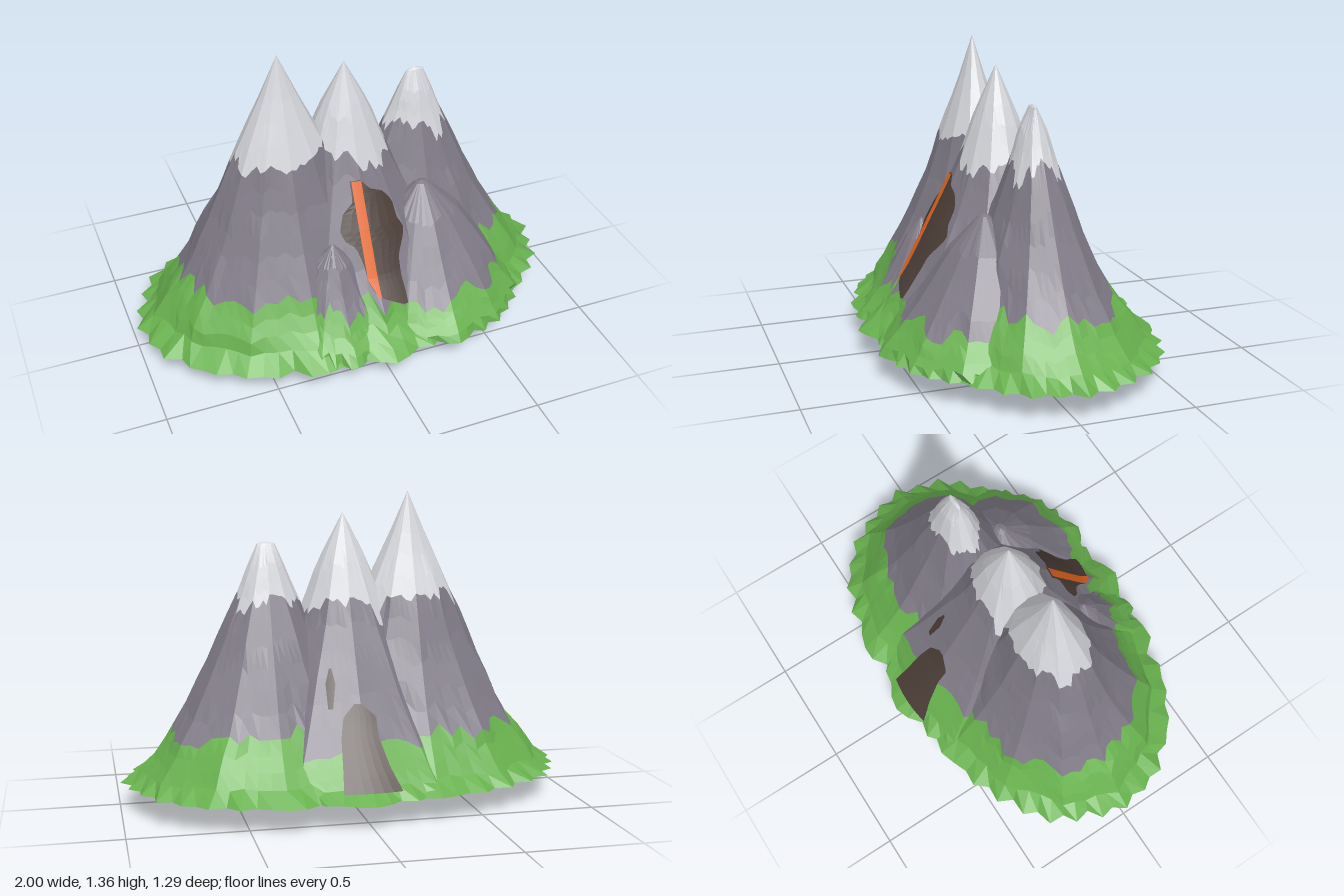
import * as THREE from 'three';

const mat = (name, color) => {
  const m = new THREE.MeshStandardMaterial({ color, side: THREE.DoubleSide });
  m.name = name;
  return m;
};

const BASE = 0.11, COLS = 60, FACETS = 12;

// Each peak: centre, front/back depth scale, [radius, height] profile, snow and grass lines
const PEAKS = [
  { name: 'rightPeak', x: -0.3, z: 0.01, front: 0.84, back: 0.84, snow: 0.9, grass: 0.34, tip: 1, rough: 0.03,
    profile: [[0, 1.36], [0.08, 1.18], [0.2, 0.93], [0.31, 0.67], [0.44, 0.41], [0.54, 0.25], [0.61, 0.16], [0.7, BASE]] },
  { name: 'middlePeak', x: 0, z: 0, front: 1, back: 1, snow: 0.84, grass: 0.3, tip: 1, rough: 0.015,
    profile: [[0, 1.27], [0.11, 1.06], [0.21, 0.81], [0.32, 0.6], [0.42, 0.4], [0.54, 0.21], [0.58, 0.15], [0.645, BASE]] },
  { name: 'leftPeak', x: 0.35, z: -0.04, front: 0.83, back: 0.88, snow: 0.88, grass: 0.35, tip: 0.4, rough: 0.03,
    profile: [[0, 1.15], [0.04, 1.14], [0.13, 0.92], [0.24, 0.68], [0.38, 0.41], [0.49, 0.25], [0.56, 0.16], [0.65, BASE]] },
  { name: 'leftFoothill', x: 0.31, z: 0.16, front: 1, back: 1, snow: 2, grass: 0.27, tip: 1, rough: 0.03,
    profile: [[0, 0.69], [0.09, 0.66], [0.18, 0.53], [0.3, 0.36], [0.39, 0.22], [0.47, BASE]] },
  { name: 'rightFoothill', x: -0.17, z: 0.3, front: 1, back: 1, snow: 2, grass: 0.29, tip: 1, rough: 0.03,
    profile: [[0, 0.56], [0.06, 0.51], [0.15, 0.35], [0.23, 0.21], [0.31, BASE]] },
];

// Piecewise linear lookup in a table; column "a" gives column "b"
function lookup(table, v, a, b) {
  for (let i = 1; i < table.length; i++) {
    const p = table[i - 1], q = table[i];
    if ((v - p[a]) * (v - q[a]) <= 0) return p[b] + (q[b] - p[b]) * (v - p[a]) / (q[a] - p[a]);
  }
  return null;
}

// Repeatable noise from -1 to 1
const noise = (a, b, c) => {
  const s = Math.sin(a * 12.9898 + b * 78.233 + c * 37.719) * 43758.5453;
  return (s - Math.floor(s)) * 2 - 1;
};

// Peaks are slimmer in depth towards the top
const depth = (p, side, r) => (side > 0 ? p.front : p.back) * (0.78 + 0.22 * r / p.profile.at(-1)[0]);

function heightOf(p, x, z) {
  const dx = x - p.x, dz = z - p.z;
  let r = Math.hypot(dx, dz);
  for (let i = 0; i < 5; i++) r = Math.hypot(dx, dz / depth(p, dz, r));
  return lookup(p.profile, r, 0, 1) ?? -1;
}

function flatMesh(name, points, material) {
  const g = new THREE.BufferGeometry().setFromPoints(points);
  g.computeVertexNormals();
  const m = new THREE.Mesh(g, material);
  m.name = name;
  return m;
}

// Radius factor that gives broad, flat, uneven rock faces
function facet(p, index, k, row) {
  const step = COLS / FACETS, f = Math.floor(k / step), t = k / step - f;
  const a = noise(index, f, row >> 1), b = noise(index, (f + 1) % FACETS, row >> 1);
  const chord = Math.cos(Math.PI / FACETS) / Math.cos((t - 0.5) * 2 * Math.PI / FACETS);
  return 1.012 * chord * (1 + p.rough * (a + (b - a) * t));
}

// Radius factor for the ragged grass rim
function tuft(index, k) {
  if (k % (COLS / 4) === 0) return 1;
  return k % 2 ? 0.935 + 0.025 * noise(index, k, 4) : 0.985 + 0.02 * noise(index, k, 5);
}

// One peak: rings of points whose colour borders zigzag, minus the parts inside other peaks
function buildPeak(p, index, mats) {
  const top = p.profile[0][1], snowy = p.snow < top;
  const zones = snowy ? [['snow', 5], ['rock', 6], ['grass', 4]] : [['rock', 6], ['grass', 4]];
  const columns = [];
  for (let k = 0; k < COLS; k++) {
    const snow = p.snow + 0.05 * noise(index, k >> 2, 1) + 0.025 * noise(index, k, 2);
    const grass = p.grass + 0.03 * noise(index, k >> 2, 6) + 0.035 * noise(index, k, 3);
    const stops = snowy ? [top, snow, grass, BASE] : [top, grass, BASE];
    const ys = [top];
    zones.forEach(([, n], s) => {
      for (let i = 1; i <= n; i++) ys.push(THREE.MathUtils.lerp(stops[s], stops[s + 1], i / n));
    });
    ys[1] = top - 0.01;
    const a = k * Math.PI * 2 / COLS;
    columns.push(ys.map((height, row) => {
      const y = Math.max(height, BASE), rim = row === ys.length - 1;
      const r = lookup(p.profile, y, 1, 0) * (rim ? tuft(index, k) : facet(p, index, k, row));
      const s = Math.sin(a) * (row < 2 ? p.tip : 1);
      return new THREE.Vector3(p.x + r * Math.cos(a), y, p.z + r * s * depth(p, s, r));
    }));
  }
  const others = PEAKS.filter(o => o !== p);
  const exposed = v => others.every(o => v.y > heightOf(o, v.x, v.z) - 0.025);
  const group = new THREE.Group();
  group.name = p.name;
  let row = 0;
  for (const [zone, n] of zones) {
    const pts = [];
    for (const end = row + n; row < end; row++) {
      for (let k = 0; k < COLS; k++) {
        const c = columns[k], d = columns[(k + 1) % COLS];
        for (const t of [[c[row], d[row], c[row + 1]], [d[row], d[row + 1], c[row + 1]]]) {
          if (t.some(exposed)) pts.push(...t);
        }
      }
    }
    group.add(flatMesh(zone, pts, mats[zone]));
  }
  return group;
}

// Thin patch lying on the middle peak; outline rows are [height, left edge, right edge]
function patch(name, outline, side, lift, material) {
  const p = PEAKS[1], rows = 24, cols = 6, grid = [], pts = [];
  const y0 = outline[0][0], y1 = outline.at(-1)[0];
  for (let i = 0; i <= rows; i++) {
    const y = Math.max(y1, THREE.MathUtils.lerp(y0, y1, i / rows));
    const l = lookup(outline, y, 0, 1), r = lookup(outline, y, 0, 2);
    const radius = lookup(p.profile, y, 1, 0) + lift;
    grid.push(Array.from({ length: cols + 1 }, (_, j) => {
      const x = l + (r - l) * j / cols;
      return new THREE.Vector3(x, y, side * depth(p, side, radius) * Math.sqrt(radius * radius - x * x));
    }));
  }
  for (let i = 0; i < rows; i++) for (let j = 0; j < cols; j++) {
    const [a, b, c, d] = [grid[i][j], grid[i][j + 1], grid[i + 1][j], grid[i + 1][j + 1]];
    pts.push(...(side > 0 ? [a, c, b, b, c, d] : [a, b, c, b, d, c]));
  }
  return flatMesh(name, pts, material);
}

export function createModel() {
  const model = new THREE.Group();
  model.name = 'mountain';
  const mats = {
    snow: mat('snow', 0xd3d4d9),
    rock: mat('rock', 0x7f7a86),
    grass: mat('grass', 0x68b04e),
    cave: mat('cave brown', 0x4b3d37),
    orange: mat('bright orange', 0xe2651f),
    clay: mat('clay', 0xc67641),
    sand: mat('sand', 0xc4b080),
    slate: mat('slate', 0x5c5e68),
  };
  const add = (name, geometry, material) => {
    const m = new THREE.Mesh(geometry, material);
    m.name = name;
    model.add(m);
    return m;
  };
  PEAKS.forEach((p, i) => model.add(buildPeak(p, i, mats)));

  // Cave mouth and its bright stripe on the front, smaller openings on the back
  model.add(patch('caveMouth', [[0.79, -0.05, 0], [0.75, -0.05, 0.03], [0.735, -0.05, 0.08], [0.7, -0.055, 0.115],
    [0.67, -0.1, 0.135], [0.6, -0.125, 0.145], [0.56, -0.115, 0.17], [0.53, -0.07, 0.165], [0.46, -0.05, 0.12],
    [0.38, -0.04, 0.115], [0.33, -0.01, 0.12], [0.28, 0.1, 0.12]], 1, 0.014, mats.cave));
  model.add(patch('caveStripe', [[0.79, -0.045, 0], [0.4, -0.045, 0], [0.33, -0.01, 0]], 1, 0.02, mats.orange));
  model.add(patch('backDoor', [[0.48, 0, 0.03], [0.43, -0.06, 0.08], [0.35, -0.06, 0.1],
    [0.24, -0.09, 0.11], [0.15, -0.13, 0.12]], -1, 0.014, mats.cave));
  model.add(patch('backCrack', [[0.62, 0.11, 0.12], [0.56, 0.1, 0.14], [0.46, 0.12, 0.14]], -1, 0.016, mats.cave));

  // Lining inside the hollow shell: brown on the right, grass on the front and left
  for (const [name, start, length, material] of [['caveLining', -2.5, 1.9, mats.cave], ['grassLining', -0.6, 2.8, mats.grass]]) {
    const g = new THREE.CylinderGeometry(0.5, 0.71, 0.24, 20, 1, true, start, length).toNonIndexed();
    g.scale(1, 1, 0.7);
    g.computeVertexNormals();
    add(name, g, material).position.y = 0.28;
  }

  // Stepped round hull hanging inside
  const hull = [[0, 0.16], [0.31, 0.16], [0.33, 0.195], [0.322, 0.195], [0.337, 0.23], [0.33, 0.23],
    [0.342, 0.265], [0.335, 0.265], [0.32, 0.3], [0.2, 0.34], [0, 0.35]].map(([x, y]) => new THREE.Vector2(x, y));
  const hullGeometry = new THREE.LatheGeometry(hull, 24).toNonIndexed();
  hullGeometry.computeVertexNormals();
  add('hull', hullGeometry, mats.clay);
  for (const s of [-1, 1]) {
    const a = -Math.PI / 4 + s * 0.55;
    const hatch = add('hatch', new THREE.SphereGeometry(0.025, 8, 6), mats.cave);
    hatch.position.set(Math.cos(a) * 0.325, 0.21, Math.sin(a) * 0.325);
  }
  const trim = add('hullTrim', new THREE.RingGeometry(0.19, 0.25, 20, 1, -0.6, Math.PI), mats.slate);
  trim.rotation.x = -Math.PI / 2;
  trim.position.y = 0.15;

  // Small faceted globe with a tilted flat ring
  const globeGeometry = new THREE.IcosahedronGeometry(0.12, 2);
  globeGeometry.computeVertexNormals();
  add('globe', globeGeometry, mats.clay).position.set(0, 0.12, 0.01);
  const ring = add('globeRing', new THREE.RingGeometry(0.165, 0.225, 32), mats.sand);
  ring.rotation.x = -Math.PI / 2 + 0.32;
  ring.position.set(0, 0.115, 0.01);
  return model;
}
